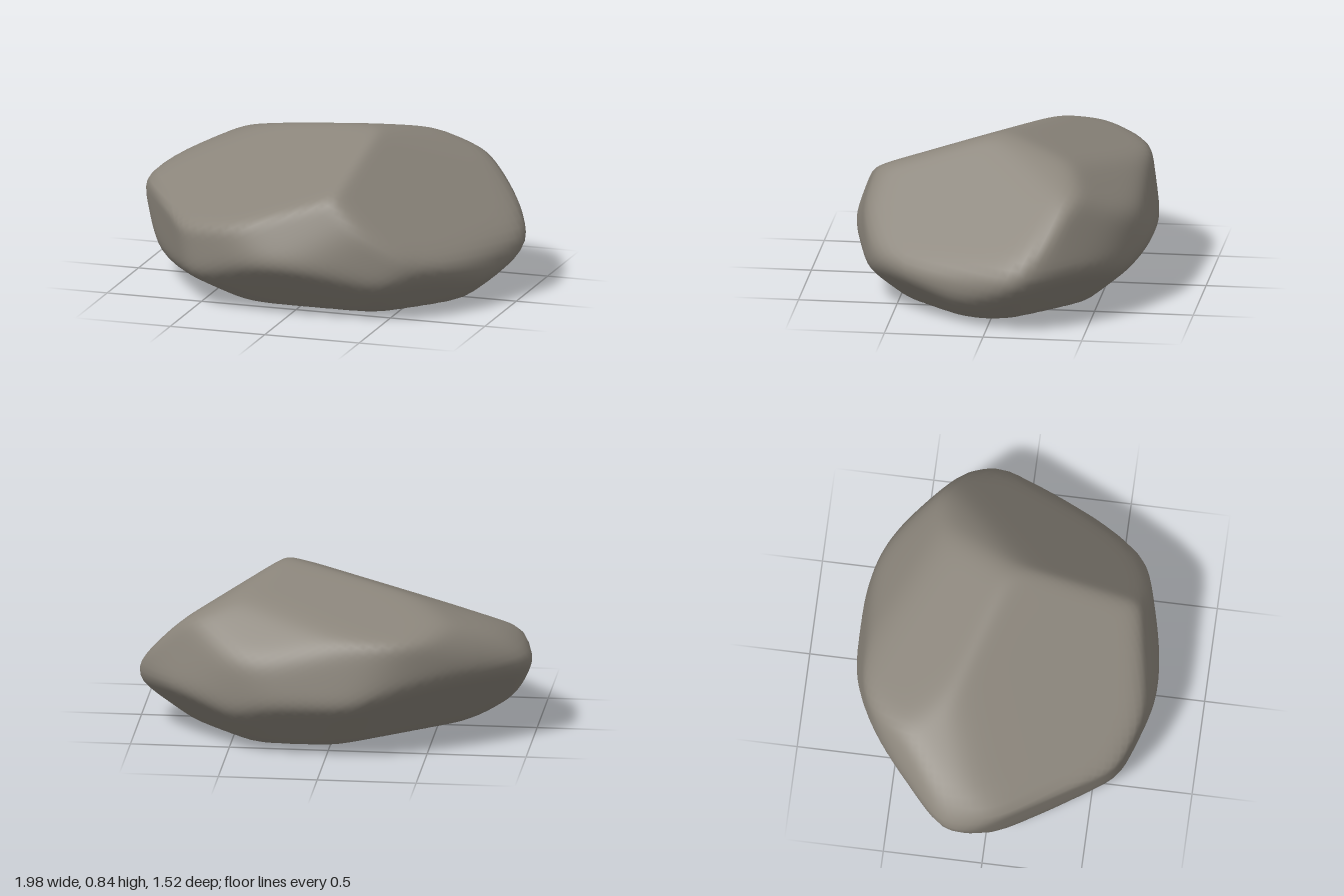
import * as THREE from 'three';
import { mergeVertices } from 'three/addons/utils/BufferGeometryUtils.js';

// Worn facets of the boulder: outward direction (x, y, z) and plane offset.
const FACETS = [
  [0, -1, 0, 0],                 // flat base
  [0, 1, 0, 0.86],               // blunt summit
  [-0.28, 1, 0.335, 0.79],       // top, sloping to the front left
  [-0.07, 1, -0.3, 0.85],        // top, sloping to the back
  [-0.4, 1, 0, 0.915],           // top, falling to the -x tip
  [0.45, 1, 0, 0.985],           // top, falling to the +x side
  [0.15, 0.75, -0.64, 0.89],     // upper back
  [-0.6, 0.6, -0.5, 0.985],      // upper back corner
  [-0.7, 0.7, 0, 1.01],          // above the -x tip
  [-0.95, -0.3, 0, 0.835],       // blunt -x tip
  [1, 1.2, 0.5, 1.33],           // broad slope on the +x side
  [0.9, 0.1, -0.4, 1.01],        // blunt +x tip
  [0.93, 0, 0.36, 0.895],        // +x side, turning to the front
  [0.65, 0.25, -0.75, 0.955],    // back corner on the +x side
  [0.4, 0, -0.92, 0.815],        // back, turning to +x
  [0, 0.2, -1, 0.82],            // back
  [-0.4, 0, -0.92, 0.785],       // back, turning to -x
  [-0.65, 0, -0.76, 0.825],      // back corner on the -x side
  [-0.84, -0.1, 0.54, 0.775],    // steep cut on the -x side
  [-0.35, 0, 0.94, 0.79],        // front, turning to -x
  [0.04, 0.4, 1, 0.905],         // front
  [0.28, 0, 0.96, 0.775],        // front, turning to +x
  [0.75, 0, 0.66, 0.875],        // front corner on the +x side
  [-0.4, -0.72, -0.5, 0.235],    // large undercut, back of the -x side
  [-0.6, -0.75, 0.27, 0.45],     // undercut on the -x side
  [-0.33, -0.89, 0.33, 0.235],   // undercut, front of the -x side
  [0, -0.74, -0.67, 0.3],        // back undercut
  [0, -0.75, 0.66, 0.31],        // front undercut
  [0.62, -0.78, 0, 0.46],        // undercut on the +x side
  [0.5, -0.75, 0.45, 0.42],      // undercut, front of the +x side
  [0.47, -0.75, -0.47, 0.385],   // undercut, back of the +x side
];
const CORE = new THREE.Vector3(0, 0.38, 0);
const SHARPNESS = 30; // higher gives crisper edges

// Distance from the core to the rounded intersection of all facets.
function radius(u) {
  let sum = 0;
  for (const [x, y, z, d] of FACETS) {
    const gap = d - (x * CORE.x + y * CORE.y + z * CORE.z);
    const k = (x * u.x + y * u.y + z * u.z) / gap;
    if (k > 0) sum += k ** SHARPNESS;
  }
  return sum ** (-1 / SHARPNESS);
}

function boulderGeometry() {
  let geo = new THREE.IcosahedronGeometry(1, 26);
  geo.deleteAttribute('uv');
  geo.deleteAttribute('normal');
  geo = mergeVertices(geo, 1e-5);
  const pos = geo.attributes.position;
  const u = new THREE.Vector3();
  for (let i = 0; i < pos.count; i++) {
    u.fromBufferAttribute(pos, i).normalize();
    u.multiplyScalar(radius(u)).add(CORE);
    pos.setXYZ(i, u.x, u.y, u.z);
  }
  geo.computeVertexNormals();
  return geo;
}

export function createModel() {
  const group = new THREE.Group();
  group.name = 'rock';
  const stone = new THREE.MeshStandardMaterial({ color: 0x8b857b });
  stone.name = 'stone';
  const boulder = new THREE.Mesh(boulderGeometry(), stone);
  boulder.name = 'boulder';
  group.add(boulder);
  return group;
}
